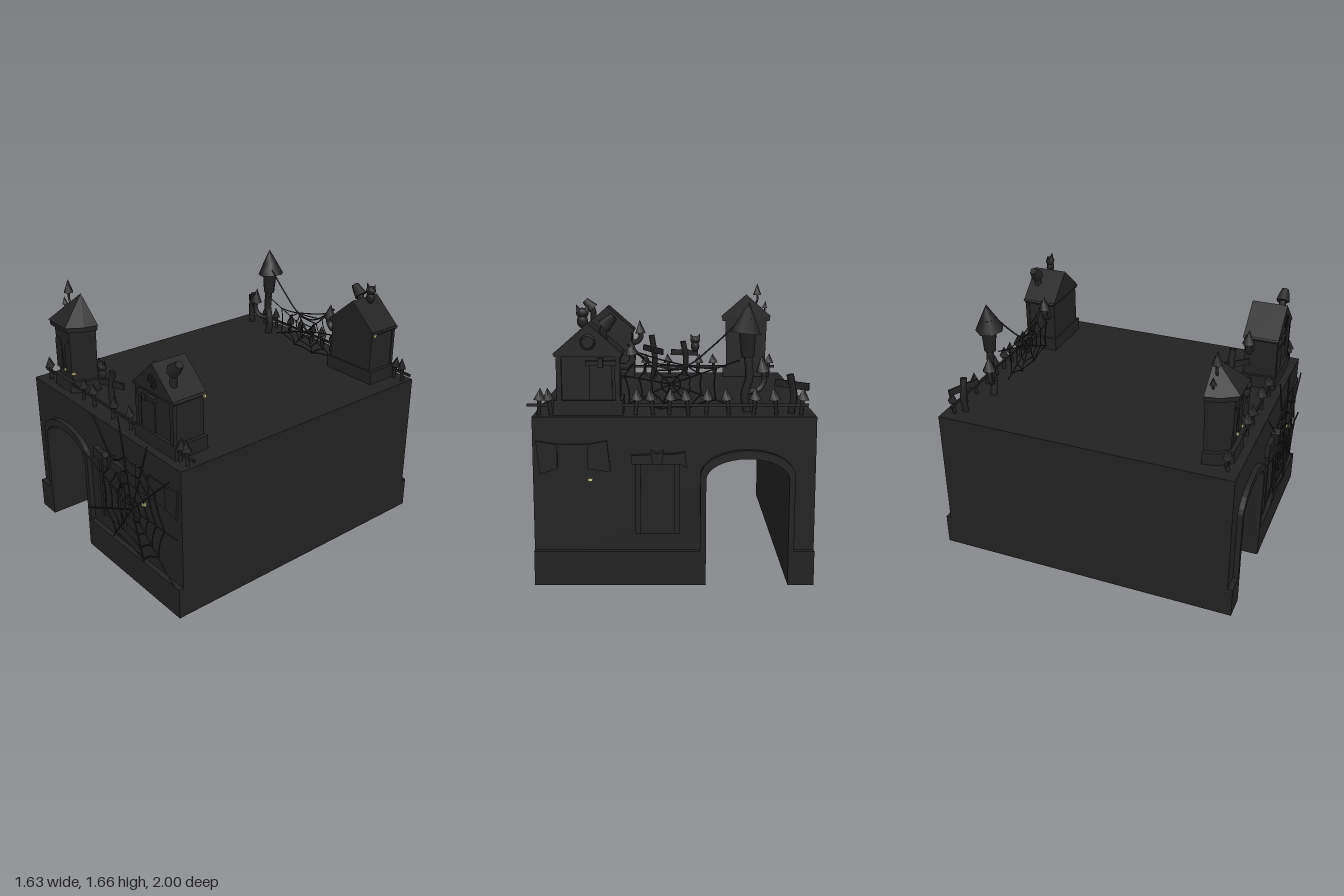
import * as THREE from 'three';
import { mergeGeometries } from 'three/addons/utils/BufferGeometryUtils.js';
import { ConvexGeometry } from 'three/addons/geometries/ConvexGeometry.js';

const V = (x, y, z) => new THREE.Vector3(x, y, z);

export function createModel() {
  const model = new THREE.Group();
  const charcoal = new THREE.MeshStandardMaterial({ color: 0x222222, side: THREE.DoubleSide });
  charcoal.name = 'charcoal';
  const glow = new THREE.MeshStandardMaterial({ color: 0xd2c88e });
  glow.name = 'pale yellow';

  // ---- helpers ----
  const add = (name, geo, mat = charcoal, parent = model) => {
    const m = new THREE.Mesh(geo, mat);
    m.name = name;
    parent.add(m);
    return m;
  };
  const box = (x0, x1, y0, y1, z0, z1) =>
    new THREE.BoxGeometry(Math.abs(x1 - x0), Math.abs(y1 - y0), Math.abs(z1 - z0))
      .translate((x0 + x1) / 2, (y0 + y1) / 2, (z0 + z1) / 2);
  // straight bar or cone between two points
  const bar = (a, b, r0, r1 = r0, sides = 5) => {
    const d = b.clone().sub(a);
    const g = new THREE.CylinderGeometry(r1, r0, d.length(), sides);
    g.applyQuaternion(new THREE.Quaternion().setFromUnitVectors(V(0, 1, 0), d.normalize()));
    const c = a.clone().add(b).multiplyScalar(0.5);
    return g.translate(c.x, c.y, c.z);
  };
  const tube = (pts, r, n = 12, sides = 6) =>
    new THREE.TubeGeometry(new THREE.CatmullRomCurve3(pts), n, r, sides);
  const plate = (pts, z, depth) =>
    new THREE.ExtrudeGeometry(new THREE.Shape(pts.map(p => new THREE.Vector2(...p))),
      { depth, bevelEnabled: false }).translate(0, 0, z);
  const merge = list => mergeGeometries(list.map(g => {
    const n = g.index ? g.toNonIndexed() : g;
    n.deleteAttribute('uv');
    return n;
  }));

  // ---- gate block: hollow shell with an arched passage ----
  const X0 = -0.82, X1 = 0.78, TOP = 0.975, Z = 0.95, CX = -0.435;
  const arch = (rx, spring, ry, n = 16) => {
    const pts = [[CX - rx, 0]];
    for (let i = 0; i <= n; i++) {
      const a = Math.PI * (1 - i / n);
      pts.push([CX + rx * Math.cos(a), spring + ry * Math.sin(a)]);
    }
    return [...pts, [CX + rx, 0]];
  };
  const inner = arch(0.235, 0.62, 0.12), outer = arch(0.268, 0.64, 0.15);
  const wallOutline = [[X0, 0], ...inner, [X1, 0], [X1, TOP], [X0, TOP]];
  const wallShape = new THREE.Shape(wallOutline.map(p => new THREE.Vector2(...p)));
  add('frontWall', new THREE.ShapeGeometry(wallShape).translate(0, 0, Z));
  add('backWall', new THREE.ShapeGeometry(wallShape).rotateY(Math.PI).scale(-1, 1, 1).translate(0, 0, -Z));
  for (const [name, x] of [['rightWall', X0], ['leftWall', X1]])
    add(name, new THREE.PlaneGeometry(2 * Z, TOP).rotateY(Math.sign(x) * Math.PI / 2).translate(x, TOP / 2, 0));
  add('topDeck', new THREE.PlaneGeometry(X1 - X0, 2 * Z).rotateX(-Math.PI / 2).translate((X0 + X1) / 2, TOP, 0));
  const strip = [], idx = [];
  inner.forEach(([x, y], i) => {
    strip.push(x, y, Z, x, y, -Z);
    if (i) idx.push(2 * i - 2, 2 * i - 1, 2 * i, 2 * i, 2 * i - 1, 2 * i + 1);
  });
  const tunnel = new THREE.BufferGeometry();
  tunnel.setAttribute('position', new THREE.Float32BufferAttribute(strip, 3));
  tunnel.setIndex(idx);
  tunnel.computeVertexNormals();
  add('passageVault', tunnel);

  // ---- relief repeated on both end walls ----
  for (const s of [1, -1]) {
    const zAt = d => (s > 0 ? Z : -Z - d);
    const slab = (name, pts, d) => add(name, plate(pts, zAt(d), d));
    const rect = (x0, x1, y0, y1) => [[x0, y0], [x1, y0], [x1, y1], [x0, y1]];
    slab('archFrame', [...outer, ...[...inner].reverse()], 0.032);
    slab('plinth', rect(X0, CX - 0.268, 0, 0.2), 0.032);
    slab('plinth', rect(CX + 0.268, X1, 0, 0.2), 0.032);
    slab('door', rect(-0.04, 0.19, 0.3, 0.71), 0.008);
    slab('doorPost', rect(-0.05, -0.02, 0.3, 0.71), 0.018);
    slab('doorPost', rect(0.17, 0.2, 0.3, 0.71), 0.018);
    slab('doorHood', [[-0.09, 0.69], [-0.05, 0.71], [0.22, 0.71], [0.22, 0.76], [-0.04, 0.77], [-0.08, 0.78]], 0.03);
    slab('doorLamp', [[0.05, 0.71], [0.1, 0.71], [0.115, 0.79], [0.075, 0.77], [0.04, 0.79]], 0.05);
    slab('window', rect(0.46, 0.63, 0.67, 0.82), 0.006);
    slab('shutter', [[0.34, 0.66], [0.47, 0.68], [0.47, 0.82], [0.36, 0.84]], 0.014);
    slab('shutter', [[0.64, 0.68], [0.74, 0.65], [0.76, 0.84], [0.64, 0.82]], 0.014);
    add('spiderEyes', box(0.44, 0.465, 0.615, 0.63, s * 0.97, s * 0.99), glow);
  }

  // ---- pointed fences ----
  const fence = (z, xs) => {
    const parts = [box(-0.78, 0.815, 1.025, 1.04, z - 0.006, z + 0.006)];
    xs.forEach((x, i) => {
      const lean = i % 2 ? 0.012 : -0.008;
      parts.push(bar(V(x, TOP, z), V(x + lean, 1.08, z), 0.013));
      parts.push(bar(V(x + lean, 1.06, z), V(x + lean * 1.5, 1.13, z), 0.036, 0, 4));
    });
    add('fence', merge(parts));
  };
  fence(0.88, [-0.73, -0.33, -0.2, 0.01, 0.2, 0.68, 0.75]);
  fence(-0.88, [-0.74, -0.6, -0.47, -0.33, -0.2, -0.1, 0.01, 0.1, 0.2, 0.68, 0.75]);

  // ---- gabled houses ----
  const gable = (hw, y0, y1, z0, d) => plate([[0.465 - hw, y0], [0.465 + hw, y0], [0.465, y1]], z0, d);
  const house = (s, chimneyX) => {
    const g = new THREE.Group();
    g.name = s > 0 ? 'frontHouse' : 'backHouse';
    model.add(g);
    const p = (name, geo, mat) => add(name, geo, mat, g);
    p('base', box(0.27, 0.665, TOP, 1.06, s * 0.67, s * 0.9));
    p('body', box(0.29, 0.64, 1.06, 1.32, s * 0.68, s * 0.88));
    p('eaves', box(0.275, 0.655, 1.305, 1.33, s * 0.675, s * 0.895));
    p('roof', gable(0.2, 1.32, 1.495, s > 0 ? 0.67 : -0.9, 0.23));
    for (const x of [0.3, 0.63]) p('cornerPost', box(x - 0.015, x + 0.015, 1.06, 1.31, s * 0.87, s * 0.895));
    p('door', box(0.33, 0.46, 1.06, 1.26, s * 0.88, s * 0.888));
    p('doorHood', box(0.31, 0.48, 1.26, 1.285, s * 0.88, s * 0.905));
    p('doorLamp', box(0.38, 0.41, 1.25, 1.3, s * 0.88, s * 0.915));
    p('roundWindow', new THREE.TorusGeometry(0.038, 0.006, 5, 16).translate(0.465, 1.39, s * 0.9));
    p('windowBar', box(0.427, 0.503, 1.386, 1.394, s * 0.9, s * 0.906));
    p('windowBar', box(0.461, 0.469, 1.352, 1.428, s * 0.9, s * 0.906));
    p('lamp', box(0.655, 0.667, 1.3, 1.318, s * 0.68, s * 0.695), glow);
    // crooked chimney with a tilted cap
    const k = chimneyX < 0.465 ? -1 : 1, cz = s * 0.84;
    p('chimney', tube([V(chimneyX - k * 0.02, 1.38, cz), V(chimneyX - k * 0.02, 1.45, cz),
      V(chimneyX, 1.5, cz)], 0.024, 6, 5));
    p('chimneyCap', bar(V(chimneyX - k * 0.02, 1.47, cz), V(chimneyX + k * 0.04, 1.53, cz), 0.045, 0.025, 5));
    // side turret on a hooked stem
    const tz = s * 0.72;
    p('hookStem', tube([V(0.3, 1.23, tz), V(0.25, 1.235, tz), V(0.222, 1.27, tz), V(0.225, 1.31, tz)], 0.022));
    p('hookCap', bar(V(0.225, 1.3, tz), V(0.23, 1.395, tz), 0.042, 0, 6));
  };
  house(1, 0.6);
  house(-1, 0.36);

  // ---- half-octagon tower ----
  const plan = (y, k) => [[-0.16, 0], [-0.145, 0.08], [-0.09, 0.165], [0.09, 0.165], [0.145, 0.08], [0.16, 0]]
    .map(([x, z]) => V(-0.55 + x * k, y, 0.72 + z * k));
  const tier = (name, y0, k0, y1, k1) => add(name, new ConvexGeometry([...plan(y0, k0), ...plan(y1, k1)]));
  tier('towerBase', TOP, 1.07, 1.05, 1.04);
  tier('towerBody', 1.04, 0.88, 1.39, 0.95);
  tier('towerCornice', 1.385, 1.08, 1.42, 1.1);
  add('towerRoof', new ConvexGeometry([...plan(1.42, 1.15), V(-0.55, 1.58, 0.722)]));
  for (const x of [-0.605, -0.495]) {
    const w = 0.035, shape = new THREE.Shape();
    shape.moveTo(x - w, 1.1).lineTo(x + w, 1.1).lineTo(x + w, 1.28);
    shape.absarc(x, 1.28, w, 0, Math.PI).lineTo(x - w, 1.1);
    add('towerWindow', new THREE.ExtrudeGeometry(shape, { depth: 0.008, bevelEnabled: false, curveSegments: 6 })
      .translate(0, 0, 0.869));
  }
  for (const x of [-0.54, -0.445]) add('lanternGlow', box(x - 0.008, x + 0.008, 1.1, 1.112, 0.86, 0.885), glow);
  add('finialStem', tube([V(-0.61, 1.49, 0.76), V(-0.632, 1.53, 0.76), V(-0.632, 1.59, 0.76)], 0.008));
  add('finialTip', bar(V(-0.632, 1.575, 0.76), V(-0.632, 1.66, 0.76), 0.032, 0, 6));
  add('smallFinialStem', tube([V(-0.66, 1.43, 0.76), V(-0.685, 1.45, 0.76), V(-0.69, 1.49, 0.76)], 0.006));
  add('smallFinialTip', bar(V(-0.688, 1.48, 0.76), V(-0.695, 1.53, 0.76), 0.02, 0, 6));

  // ---- crooked turret on a trunk ----
  add('turretTrunk', tube([V(-0.44, TOP, -0.77), V(-0.425, 1.07, -0.77), V(-0.45, 1.17, -0.77), V(-0.44, 1.32, -0.77)], 0.026));
  add('turretHead', bar(V(-0.44, 1.29, -0.77), V(-0.435, 1.45, -0.77), 0.038, 0.052, 7));
  add('turretRoof', bar(V(-0.425, 1.43, -0.77), V(-0.435, 1.51, -0.77), 0.09, 0.05, 7));
  add('turretSpire', bar(V(-0.435, 1.51, -0.77), V(-0.445, 1.605, -0.77), 0.05, 0, 7));
  add('branchStem', tube([V(-0.44, 1.09, -0.77), V(-0.51, 1.1, -0.74), V(-0.54, 1.15, -0.73), V(-0.535, 1.21, -0.73)], 0.018));
  add('branchCap', bar(V(-0.535, 1.2, -0.73), V(-0.525, 1.3, -0.73), 0.045, 0, 6));

  // ---- signposts ----
  const signpost = (x, z, top, ax, az, y) => {
    add('signPost', tube([V(x, TOP, z), V(x - 0.012, (TOP + top) / 2, z), V(x + 0.012, top, z)], 0.022, 6, 5));
    const arm = add('signBoard', new THREE.BoxGeometry(2 * Math.hypot(ax, az), 0.042, 0.014));
    arm.position.set(x, y, z);
    arm.rotation.set(0, -Math.atan2(az, ax), 0.06);
  };
  signpost(0.13, 0.64, 1.29, 0.07, 0.1, 1.185);
  signpost(-0.1, 0.81, 1.23, 0.1, -0.025, 1.145);
  signpost(-0.69, -0.83, 1.2, 0.09, 0.05, 1.14);
  add('lanternGlow', box(0.09, 0.105, 1.1, 1.115, 0.64, 0.665), glow);

  // ---- perched owls ----
  const owl = (x, y, z) => {
    const ball = (r, sy, dy) => new THREE.SphereGeometry(r, 8, 6).scale(1, sy, 0.8).translate(x, y + dy, z);
    add('owl', merge([ball(0.032, 1.3, 0.04), ball(0.036, 0.85, 0.085),
      ...[-1, 1].map(k => bar(V(x + k * 0.022, y + 0.1, z), V(x + k * 0.036, y + 0.135, z), 0.015, 0, 4))]));
  };
  owl(0.5, 1.46, -0.8);
  owl(-0.18, 1.15, 0.825);

  // ---- cobwebs: spokes plus sagging rings ----
  const web = (name, c, ends, radii, r) => {
    const parts = ends.map(e => bar(c, e, r, r, 4));
    const at = (e, d) => c.clone().lerp(e, Math.min(0.97, d / c.distanceTo(e)));
    for (const d of radii) ends.forEach((e, i) => {
      const a = at(e, d), b = at(ends[(i + 1) % ends.length], d);
      const mid = a.clone().add(b).multiplyScalar(0.5).lerp(c, 0.1);
      parts.push(new THREE.TubeGeometry(new THREE.QuadraticBezierCurve3(a, mid, b), 4, r, 4));
    });
    add(name, merge(parts));
  };
  web('wallCobweb', V(0.33, 0.53, 0.985),
    [[0.78, 0.55], [0.74, 0.2], [0.43, 0.21], [0.1, 0.22], [-0.16, 0.3], [-0.19, 0.69], [-0.1, 0.97],
      [0.18, 1.08], [0.47, 1.0], [0.72, 0.9]].map(([x, y]) => V(x, y, y > 0.95 ? 0.955 : 0.985)),
    [0.09, 0.17, 0.25, 0.33], 0.005);
  web('fenceCobweb', V(0, 1.13, -0.735),
    [[0.28, 1.18], [0.25, 1.36], [-0.1, 1.24], [-0.4, 1.27], [-0.31, 1.02], [-0.12, 0.99], [0.06, 0.98], [0.25, 1.01]]
      .map(([x, y]) => V(x, y, -0.735)),
    [0.06, 0.12, 0.19, 0.28], 0.004);
  add('cobwebStrand', tube([V(-0.38, 1.48, -0.735), V(-0.23, 1.34, -0.735), V(-0.1, 1.24, -0.735),
    V(0.02, 1.22, -0.735), V(0.12, 1.26, -0.735), V(0.24, 1.36, -0.735)], 0.005, 20, 5));

  return model;
}
